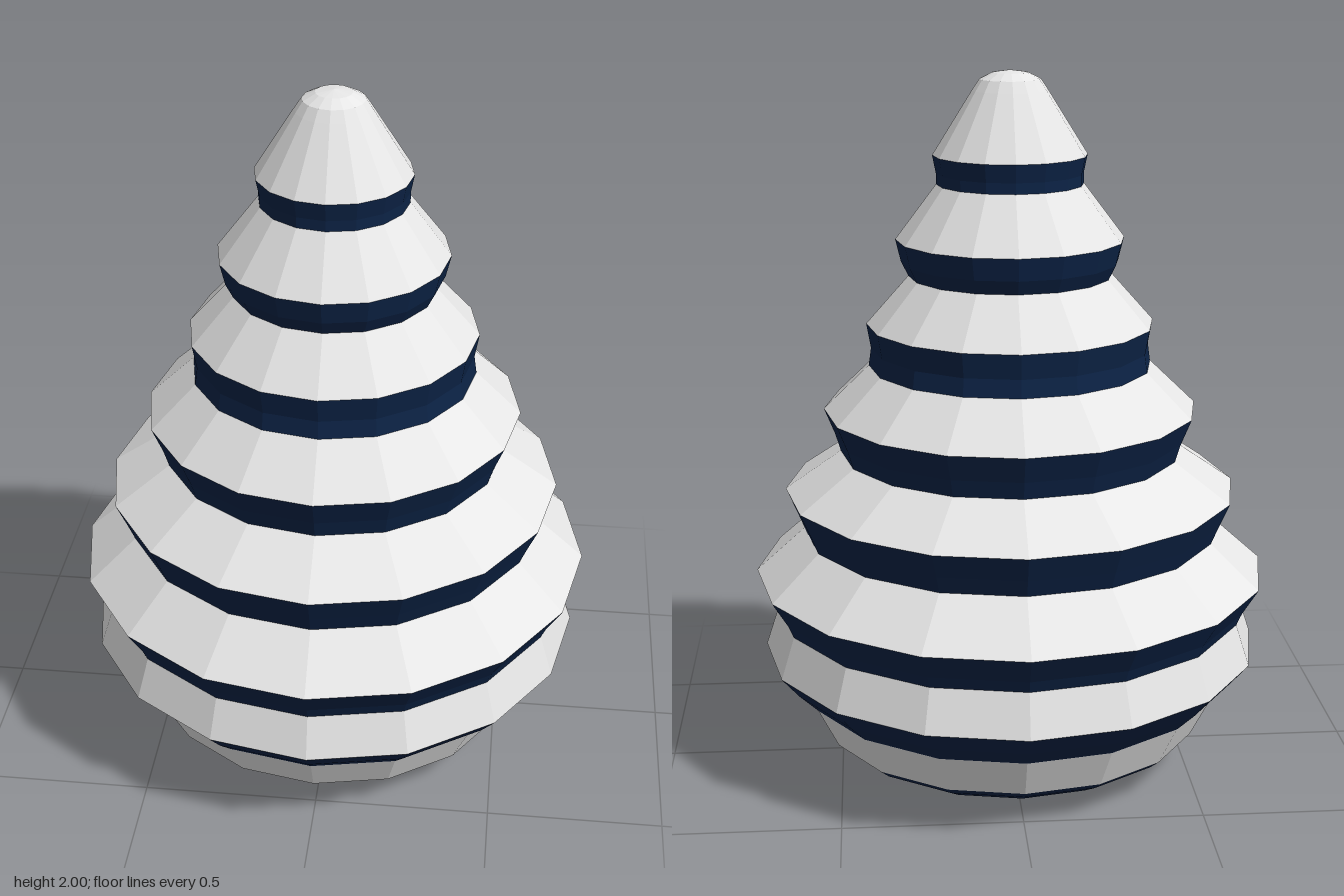
import * as THREE from 'three';

const SIDES = 16;

export function createModel() {
  const model = new THREE.Group();
  model.name = 'stripedCone';

  const white = new THREE.MeshStandardMaterial({ color: 0xe6e6e6, flatShading: true });
  white.name = 'off white';
  const navy = new THREE.MeshStandardMaterial({ color: 0x0c2346, flatShading: true });
  navy.name = 'navy blue';

  // A faceted ring turned from [radius, height] points, bottom to top
  function ring(name, profile, material) {
    const points = profile.map(([r, y]) => new THREE.Vector2(r, y));
    const mesh = new THREE.Mesh(new THREE.LatheGeometry(points, SIDES), material);
    mesh.name = name;
    model.add(mesh);
  }

  // Underside and rounded foot
  ring('basePatch', [[0, 0], [0.33, 0.015]], white);
  ring('foot', [[0.33, 0.015], [0.46, 0.05], [0.52, 0.085], [0.55, 0.11]], navy);

  // Navy grooves: each flares up to the rim of the next tier
  const grooves = [
    [[0.61, 0.23], [0.665, 0.285], [0.715, 0.345]],
    [[0.675, 0.465], [0.69, 0.5], [0.735, 0.575]],
    [[0.595, 0.7], [0.615, 0.75], [0.645, 0.82]],
    [[0.485, 0.93], [0.5, 0.98], [0.53, 1.055]],
    [[0.4, 1.18], [0.393, 1.23], [0.405, 1.3]],
    [[0.285, 1.435], [0.305, 1.475], [0.32, 1.538]],
    [[0.205, 1.69], [0.205, 1.72], [0.215, 1.77]],
  ];

  // White sloping tiers join each groove to the one below it
  let rim = [0.55, 0.11];
  grooves.forEach((groove, i) => {
    ring(`whiteTier${i + 1}`, [rim, groove[0]], white);
    ring(`navyGroove${i + 1}`, groove, navy);
    rim = groove[groove.length - 1];
  });

  // Rounded tip
  ring('tip', [rim, [0.105, 1.945], [0.085, 1.975], [0.05, 1.993], [0, 2]], white);

  return model;
}
